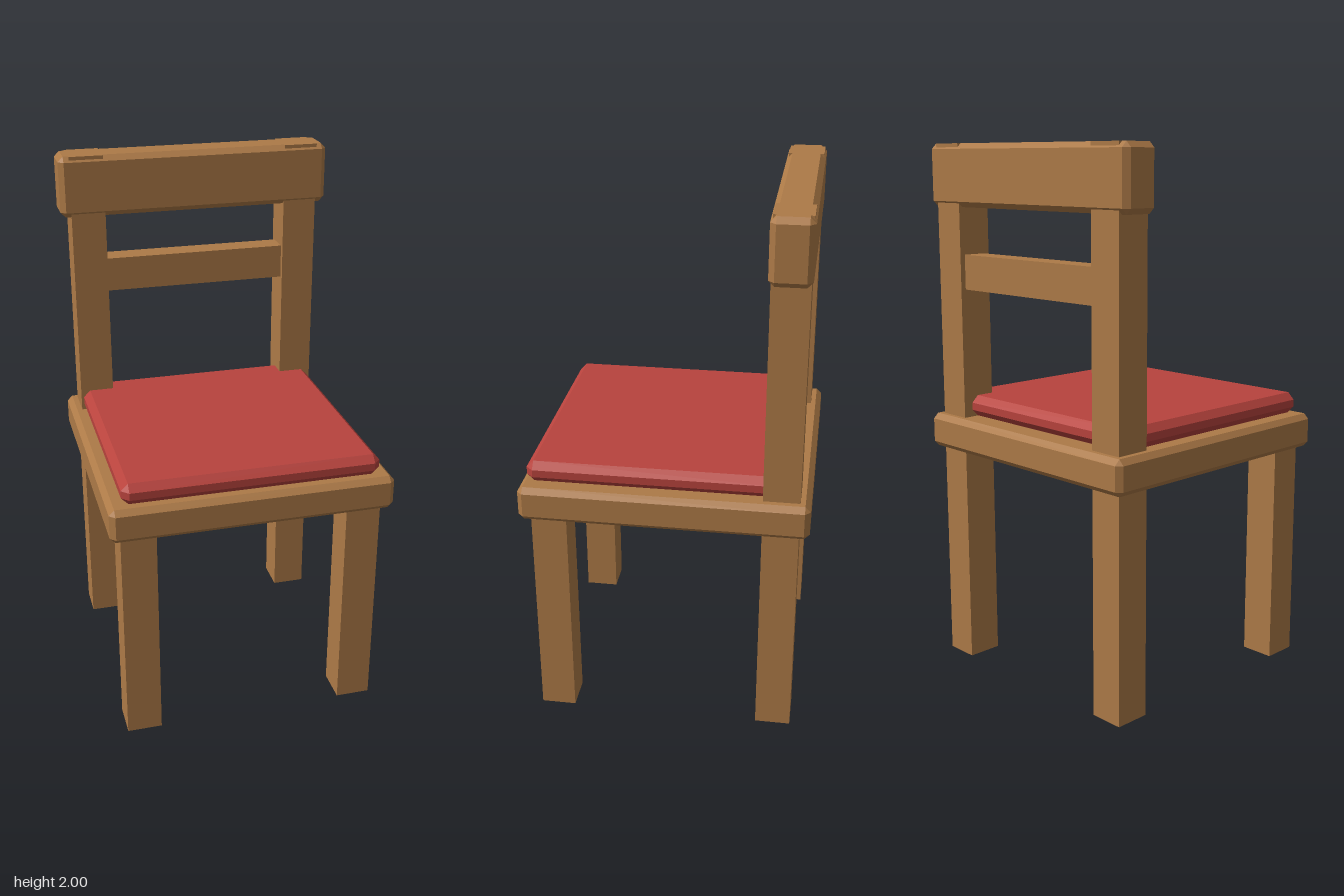
import * as THREE from 'three';
import { ConvexGeometry } from 'three/addons/geometries/ConvexGeometry.js';

// Box with every edge and corner chamfered
function chamferedBox(w, h, d, c) {
  const half = [w / 2, h / 2, d / 2];
  const points = [];
  for (const sx of [-1, 1]) for (const sy of [-1, 1]) for (const sz of [-1, 1]) {
    for (let face = 0; face < 3; face++) {
      const [x, y, z] = half.map((e, axis) => (axis === face ? e : e - c));
      points.push(new THREE.Vector3(sx * x, sy * y, sz * z));
    }
  }
  return new ConvexGeometry(points);
}

export function createModel() {
  const chair = new THREE.Group();
  chair.name = 'chair';

  const wood = new THREE.MeshStandardMaterial({ color: 0xad7a47 });
  wood.name = 'wood';
  const fabric = new THREE.MeshStandardMaterial({ color: 0xb8433d });
  fabric.name = 'red fabric';

  // Adds a part spanning min to max on each axis
  function add(name, material, [x0, x1], [y0, y1], [z0, z1], chamfer = 0) {
    const size = [x1 - x0, y1 - y0, z1 - z0];
    const geometry = chamfer ? chamferedBox(...size, chamfer) : new THREE.BoxGeometry(...size);
    const mesh = new THREE.Mesh(geometry, material);
    mesh.name = name;
    mesh.position.set((x0 + x1) / 2, (y0 + y1) / 2, (z0 + z1) / 2);
    chair.add(mesh);
  }

  // Seat and cushion
  add('seat', wood, [-0.525, 0.525], [0.845, 0.975], [-0.525, 0.525], 0.02);
  add('cushion', fabric, [-0.475, 0.475], [0.975, 1.055], [-0.45, 0.5], 0.026);

  // Short front legs, and rear legs that continue up as the back posts
  for (const [side, x] of [['left', 0.42], ['right', -0.42]]) {
    const span = [x - 0.065, x + 0.065];
    add(`${side}FrontLeg`, wood, span, [0, 0.86], [0.355, 0.485]);
    add(`${side}BackPost`, wood, span, [0, 2], [-0.487, -0.355]);
  }

  // Backrest
  add('topRail', wood, [-0.525, 0.525], [1.77, 2], [-0.493, -0.348], 0.02);
  add('backSlat', wood, [-0.36, 0.36], [1.465, 1.595], [-0.467, -0.375]);

  return chair;
}
